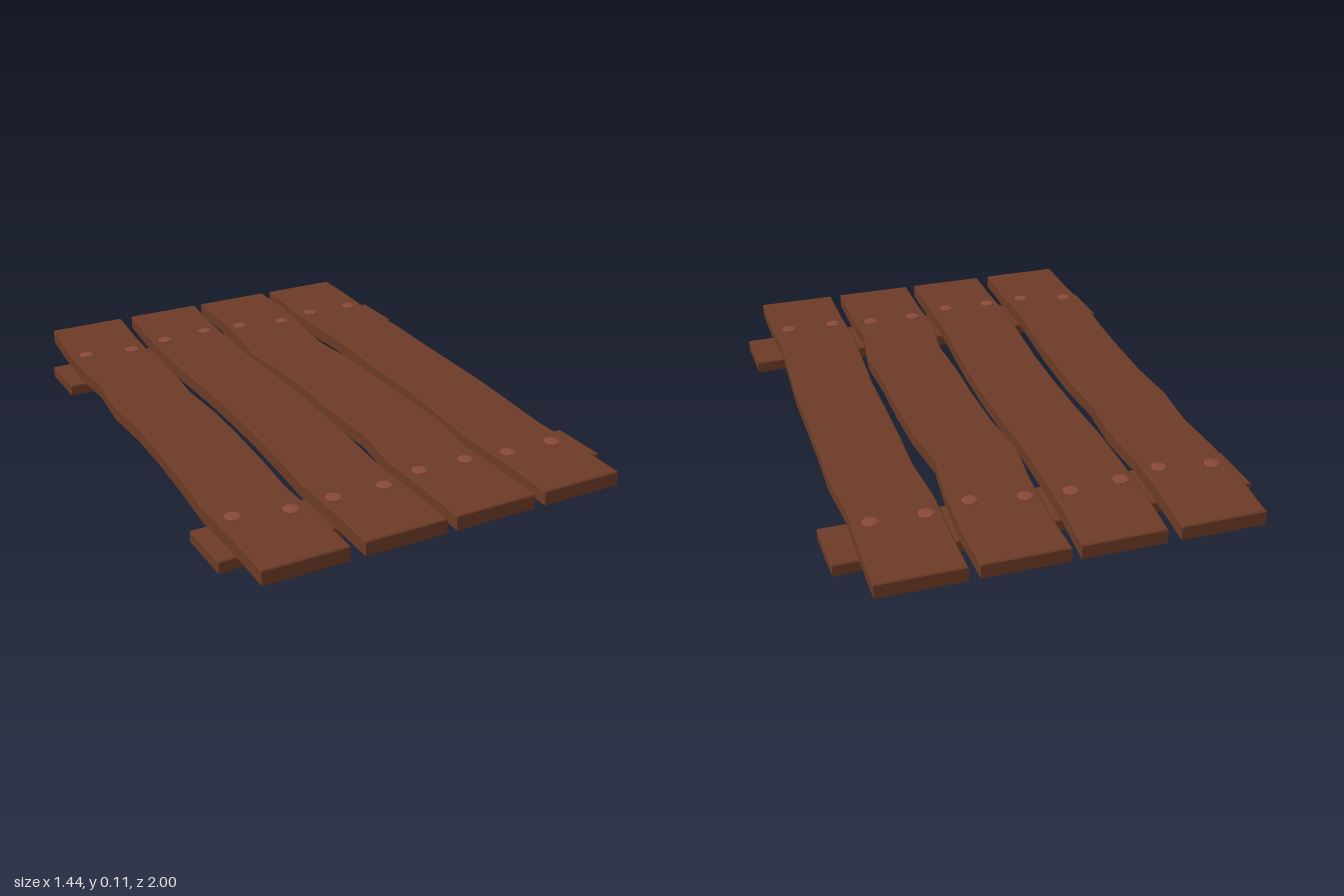
import * as THREE from 'three';

const wood = new THREE.MeshStandardMaterial({ color: 0x6b3a26, flatShading: true });
const nailMat = new THREE.MeshStandardMaterial({ color: 0x87493a, flatShading: true });
const BEVEL = 0.004;

// Flat board cut from an outline of [x, z] points, between two heights
function board(name, outline, bottom, top) {
  const shape = new THREE.Shape(outline.map(([x, z]) => new THREE.Vector2(x, z)));
  const geo = new THREE.ExtrudeGeometry(shape, {
    depth: top - bottom - 2 * BEVEL,
    bevelThickness: BEVEL, bevelSize: BEVEL, bevelOffset: -BEVEL, bevelSegments: 1,
  });
  geo.rotateX(Math.PI / 2);
  geo.translate(0, top - BEVEL, 0);
  const mesh = new THREE.Mesh(geo, wood);
  mesh.name = name;
  return mesh;
}

// Wavy planks: left edge sampled every 0.2 from back to front, constant width
const PLANKS = [
  { width: 0.29, left: [-0.645, -0.658, -0.664, -0.65, -0.664, -0.65, -0.65, -0.656, -0.667, -0.657, -0.656] },
  { width: 0.285, left: [-0.308, -0.322, -0.325, -0.325, -0.315, -0.309, -0.309, -0.316, -0.326, -0.318, -0.316] },
  { width: 0.29, left: [0.008, 0.012, 0.002, -0.02, 0.005, 0.012, 0.012, 0.022, -0.006, 0.004, 0.004] },
  { width: 0.289, left: [0.335, 0.334, 0.329, 0.345, 0.341, 0.341, 0.342, 0.333, 0.324, 0.334, 0.335] },
];

// Cross bars: [x, z] along the centre line
const BARS = [
  { name: 'backCrossBar', path: [[-0.718, -0.663], [-0.35, -0.675], [-0.02, -0.677], [0.31, -0.69], [0.71, -0.697]] },
  { name: 'frontCrossBar', path: [[-0.716, 0.722], [-0.35, 0.71], [-0.02, 0.706], [0.31, 0.696], [0.716, 0.688]] },
];

// Nail heads: shared x, with one z per row
const NAIL_X = [-0.605, -0.427, -0.277, -0.098, 0.053, 0.229, 0.381, 0.56];
const NAIL_Z = [
  [-0.695, -0.665, -0.695, -0.71, -0.695, -0.665, -0.695, -0.69],
  [0.692, 0.733, 0.729, 0.734, 0.702, 0.707, 0.729, 0.733],
];

export function createModel() {
  const model = new THREE.Group();
  model.name = 'plankPlatform';

  PLANKS.forEach(({ width, left }, i) => {
    const edge = left.map((x, k) => [x, -1 + 0.2 * k]);
    const opposite = edge.map(([x, z]) => [x + width, z]).reverse();
    model.add(board(`plank${i + 1}`, [...edge, ...opposite], 0.045, 0.1));
  });

  const half = 0.102;
  for (const { name, path } of BARS) {
    const back = path.map(([x, z]) => [x - 0.003, z - half]);
    const front = path.map(([x, z]) => [x + 0.003, z + half]).reverse();
    model.add(board(name, [...back, ...front], 0, 0.045));
  }

  // Slightly domed nail heads sunk into the planks
  const profile = [[0.027, -0.006], [0.027, 0.003], [0.02, 0.006], [0, 0.007]];
  const nailGeo = new THREE.LatheGeometry(profile.map(([r, y]) => new THREE.Vector2(r, y)), 12);
  NAIL_Z.forEach((row, r) => row.forEach((z, i) => {
    const nail = new THREE.Mesh(nailGeo, nailMat);
    nail.name = `${r ? 'front' : 'back'}Nail${i + 1}`;
    nail.position.set(NAIL_X[i], 0.1, z);
    model.add(nail);
  }));

  return model;
}
